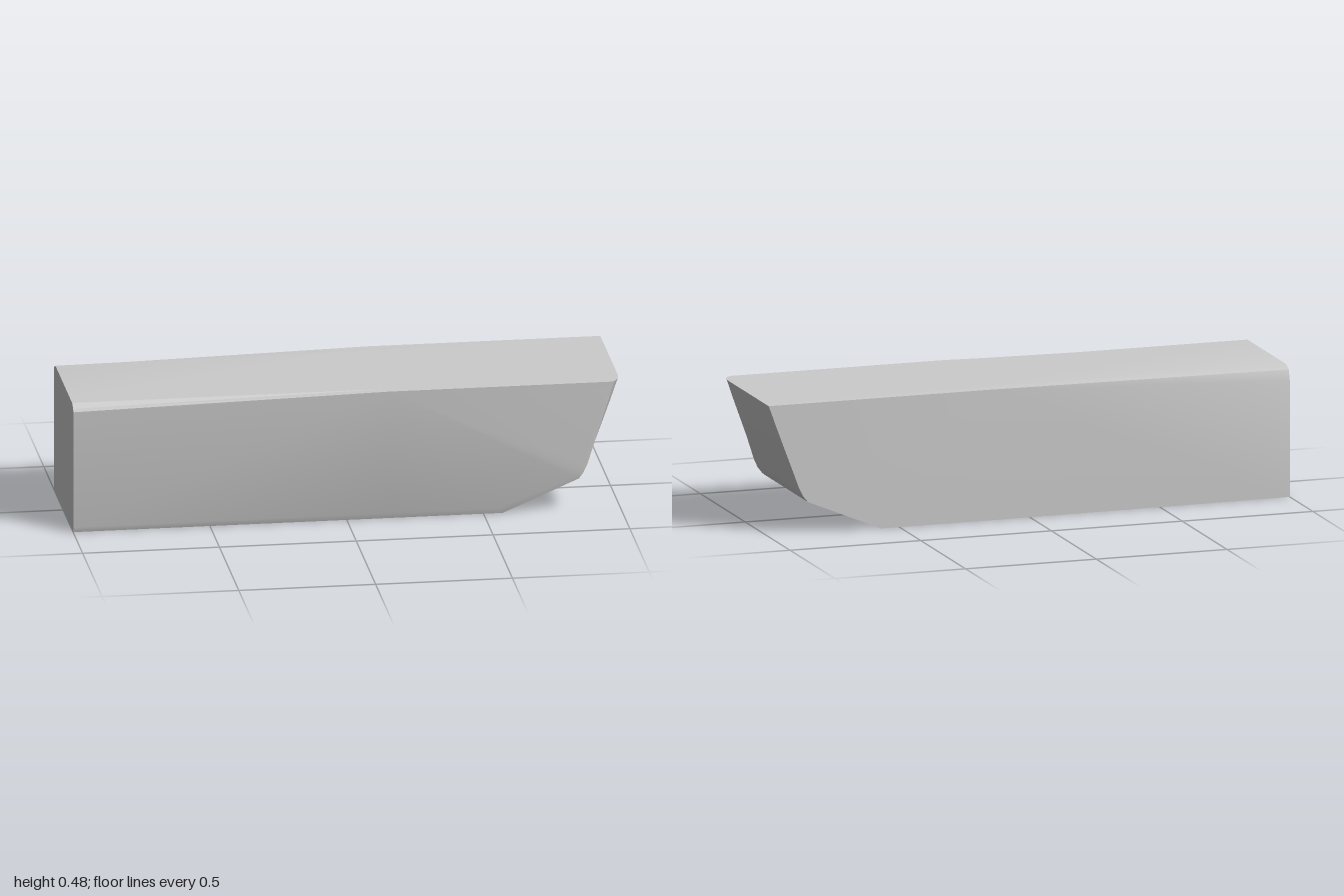
import * as THREE from 'three';
import { toCreasedNormals } from 'three/addons/utils/BufferGeometryUtils.js';

// Side outline, counter-clockwise: [x, y, bow weight (0 keel .. 1 upper edge)]
const OUTLINE = [
  [-1, 0, 0], [0.15, 0, 0], [0.57, 0, 0],
  [0.85, 0.118, 0.1], [0.868, 0.14, 0.15], [0.883, 0.17, 0.2],
  [0.973, 0.41, 0.8], [0.989, 0.455, 0.95], [1, 0.484, 1],
  [0.15, 0.484, 0], [-1, 0.484, 0],
];

// Slices across the width: z, drop of the upper edge at the square end,
// bow rounding, uniform bevel of the lower outline, taper of the side
const SLICES = [
  { z: -0.262, drop: 0.055, bow: 0, bevel: 0, taper: 0.018 },
  { z: -0.232, drop: 0.014, bow: 0, bevel: 0, taper: 0 },
  { z: -0.2, drop: 0, bow: 0, bevel: 0, taper: 0 },
  { z: 0.2, drop: 0, bow: 0, bevel: 0, taper: 0 },
  { z: 0.23, drop: 0, bow: 0.006, bevel: 0, taper: 0 },
  { z: 0.256, drop: 0.014, bow: 0.022, bevel: 0, taper: 0 },
  { z: 0.262, drop: 0.025, bow: 0.04, bevel: 0.02, taper: 0 },
];

function slicePoint([x, y, w], i, s) {
  const atEnd = x === -1;
  let px = x - s.bow * w;
  let py = y;
  if (i === 10) py -= s.drop;
  if (i <= 2) py += s.bevel;
  if (i >= 2 && i <= 8) px -= s.bevel * (1 - w);
  if (i >= 3 && i <= 5) py += s.bevel * 0.4;
  return [px, py, s.z + (atEnd ? s.taper : 0)];
}

function hullGeometry() {
  const n = OUTLINE.length;
  const positions = SLICES.flatMap((s) => OUTLINE.flatMap((p, i) => slicePoint(p, i, s)));
  const index = [];
  // Skin between neighbouring slices
  for (let k = 0; k < SLICES.length - 1; k++) {
    for (let i = 0; i < n; i++) {
      const a = k * n + i;
      const b = k * n + ((i + 1) % n);
      index.push(a, b, b + n, a, b + n, a + n);
    }
  }
  // Side faces, fanned from the point where the taper starts
  const last = (SLICES.length - 1) * n;
  const hub = 9;
  for (let j = 1; j < n - 1; j++) {
    const a = (hub + j) % n;
    const b = (hub + j + 1) % n;
    index.push(hub, b, a);
    index.push(last + hub, last + a, last + b);
  }
  const geometry = new THREE.BufferGeometry();
  geometry.setAttribute('position', new THREE.Float32BufferAttribute(positions, 3));
  geometry.setIndex(index);
  return toCreasedNormals(geometry, Math.PI / 7);
}

export function createModel() {
  const group = new THREE.Group();
  group.name = 'slantedBlock';
  const body = new THREE.Mesh(
    hullGeometry(),
    new THREE.MeshStandardMaterial({ color: 0xcccccc }),
  );
  body.name = 'body';
  group.add(body);
  return group;
}
